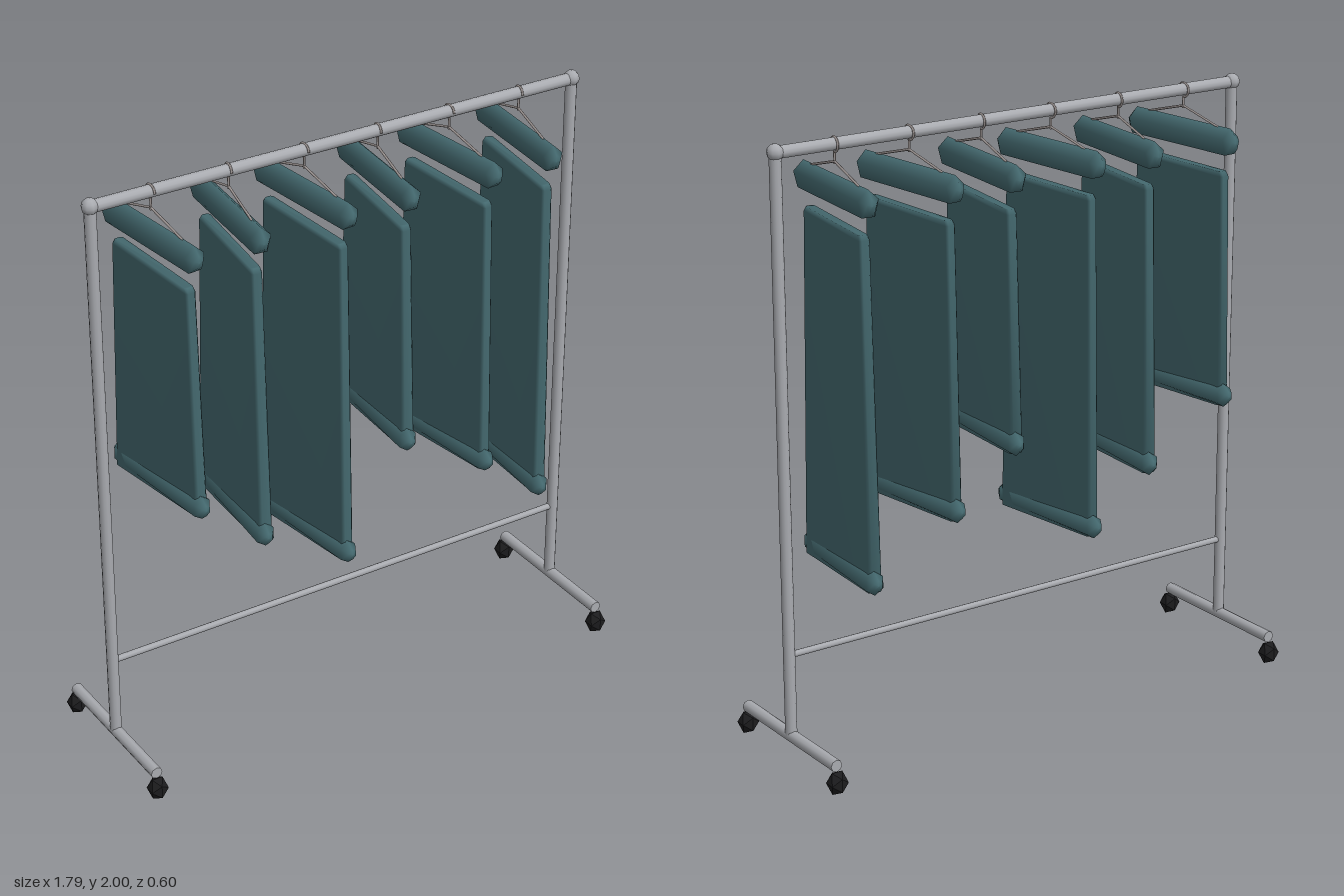
import * as THREE from 'three';

const mat = (name, color) => Object.assign(new THREE.MeshStandardMaterial({ color }), { name });

export function createModel() {
  const steel = mat('steel', 0xa9abb0);
  const wire = mat('hangerWire', 0xa29a98);
  const cloth = mat('tealCloth', 0x44696f);
  const rubber = mat('blackRubber', 0x1c1c1e);
  const root = new THREE.Group();
  root.name = 'clothesRack';

  const add = (parent, name, geo, material, x = 0, y = 0, z = 0) => {
    const m = new THREE.Mesh(geo, material);
    m.name = name;
    m.position.set(x, y, z);
    parent.add(m);
    return m;
  };

  // Straight round bar between two points
  const rod = (parent, name, a, b, r, material, sides = 10) => {
    const from = new THREE.Vector3(...a), dir = new THREE.Vector3(...b).sub(from);
    const m = add(parent, name, new THREE.CylinderGeometry(r, r, dir.length(), sides), material);
    m.position.copy(from).addScaledVector(dir, 0.5);
    m.quaternion.setFromUnitVectors(new THREE.Vector3(0, 1, 0), dir.normalize());
    return m;
  };

  // Padded roll along z with tapered ends and few sides, one corner pointing up
  const roll = (r, half, sides, widthScale) => {
    const profile = [[0, -half], [r * 0.45, -half + 0.004], [r, -half + 0.028],
      [r, half - 0.028], [r * 0.45, half - 0.004], [0, half]].map(p => new THREE.Vector2(...p));
    const g = new THREE.LatheGeometry(profile, sides);
    g.rotateX(-Math.PI / 2); // lathe axis to z
    // the first corner already points up after the turn
    return g.scale(widthScale, 1, 1);
  };

  // Thin hanging panel, chamfered at its edges and twisted from top to bottom
  const panel = (top, bottom) => {
    const rows = [ // height, half width, half thickness, twist
      [bottom, 0.21, 0.023, 0.04],
      [top - 0.015, 0.21, 0.018, -0.04],
      [top, 0.2, 0.015, -0.04],
    ];
    const section = [[1, 0.96], [0.6, 1], [-0.6, 1], [-1, 0.96], [-1, -0.96], [-0.6, -1], [0.6, -1], [1, -0.96]];
    const n = section.length, pos = [], idx = [];
    rows.forEach(([y, w, t, a], r) => {
      for (const [u, v] of section) {
        const x = u * t, z = v * w;
        pos.push(x * Math.cos(a) + z * Math.sin(a), y, z * Math.cos(a) - x * Math.sin(a));
      }
      if (r === 0) return;
      for (let i = 0; i < n; i++) {
        const j = (i + 1) % n, p = (r - 1) * n, q = r * n;
        idx.push(p + i, q + i, q + j, p + i, q + j, p + j);
      }
    });
    // End caps
    const last = (rows.length - 1) * n;
    for (let i = 1; i < n - 1; i++) {
      idx.push(0, i, i + 1);
      idx.push(last, last + i + 1, last + i);
    }
    const g = new THREE.BufferGeometry();
    g.setAttribute('position', new THREE.Float32BufferAttribute(pos, 3));
    g.setIndex(idx);
    // Section order decides the winding: turn faces outward
    let volume = 0;
    const v = k => new THREE.Vector3().fromArray(pos, k * 3);
    for (let k = 0; k < idx.length; k += 3) volume += v(idx[k]).dot(v(idx[k + 1]).cross(v(idx[k + 2])));
    if (volume < 0) g.setIndex(idx.reverse());
    g.computeVertexNormals();
    return g;
  };

  // Frame
  const X = 0.865;
  rod(root, 'topRail', [-0.875, 1.972, 0], [0.875, 1.972, 0], 0.02, steel, 12);
  rod(root, 'lowerRail', [-X, 0.37, 0], [X, 0.37, 0], 0.011, steel, 8);
  for (const s of [-1, 1]) {
    const side = s > 0 ? 'left' : 'right';
    rod(root, side + 'Post', [s * X, 0.095, 0], [s * X, 1.972, 0], 0.019, steel, 12);
    add(root, side + 'CornerJoint', new THREE.SphereGeometry(0.027, 8, 6), steel, s * X, 1.973, 0);
    rod(root, side + 'Foot', [s * X, 0.096, -0.27], [s * X, 0.096, 0.27], 0.02, steel, 8);
    for (const e of [-1, 1]) {
      const ball = add(root, side + (e > 0 ? 'Front' : 'Back') + 'Caster',
        new THREE.IcosahedronGeometry(0.037, 0), rubber, s * X, 0.037, e * 0.272);
      ball.scale.set(0.95, 1.15, 0.95);
      ball.position.y = 0.04;
    }
  }

  // Hanging garments, turned alternately and in three lengths
  const hemHeights = [0.983, 0.808, 0.638];
  for (let i = 0; i < 6; i++) {
    const g = new THREE.Group();
    g.name = 'garment' + (i + 1);
    g.position.x = -0.6645 + 0.265 * i;
    g.rotation.y = i % 2 ? -0.095 : 0.095;
    root.add(g);
    const hem = hemHeights[i % 3];

    // Hanger: hook over the rail, neck and two sloping arms
    const hook = add(g, 'hangerHook', new THREE.TorusGeometry(0.023, 0.004, 5, 14, Math.PI * 1.5), wire, 0, 1.97, 0);
    hook.rotation.set(0, Math.PI / 2, 0);
    hook.rotateZ(-Math.PI / 2);
    rod(g, 'hangerNeck', [0, 1.95, 0], [0, 1.91, 0], 0.004, wire, 6);
    for (const s of [-1, 1]) {
      rod(g, 'hangerArm', [0, 1.918, 0], [0, 1.868, s * 0.185], 0.004, wire, 6);
    }

    // Cloth parts
    add(g, 'shoulderRoll', roll(0.047, 0.245, 5, 0.78), cloth, 0, 1.832, 0);
    add(g, 'body', panel(1.737, hem - 0.034), cloth);
    add(g, 'hemRoll', roll(0.039, 0.245, 6, 0.85), cloth, 0, hem, 0);
  }
  return root;
}
